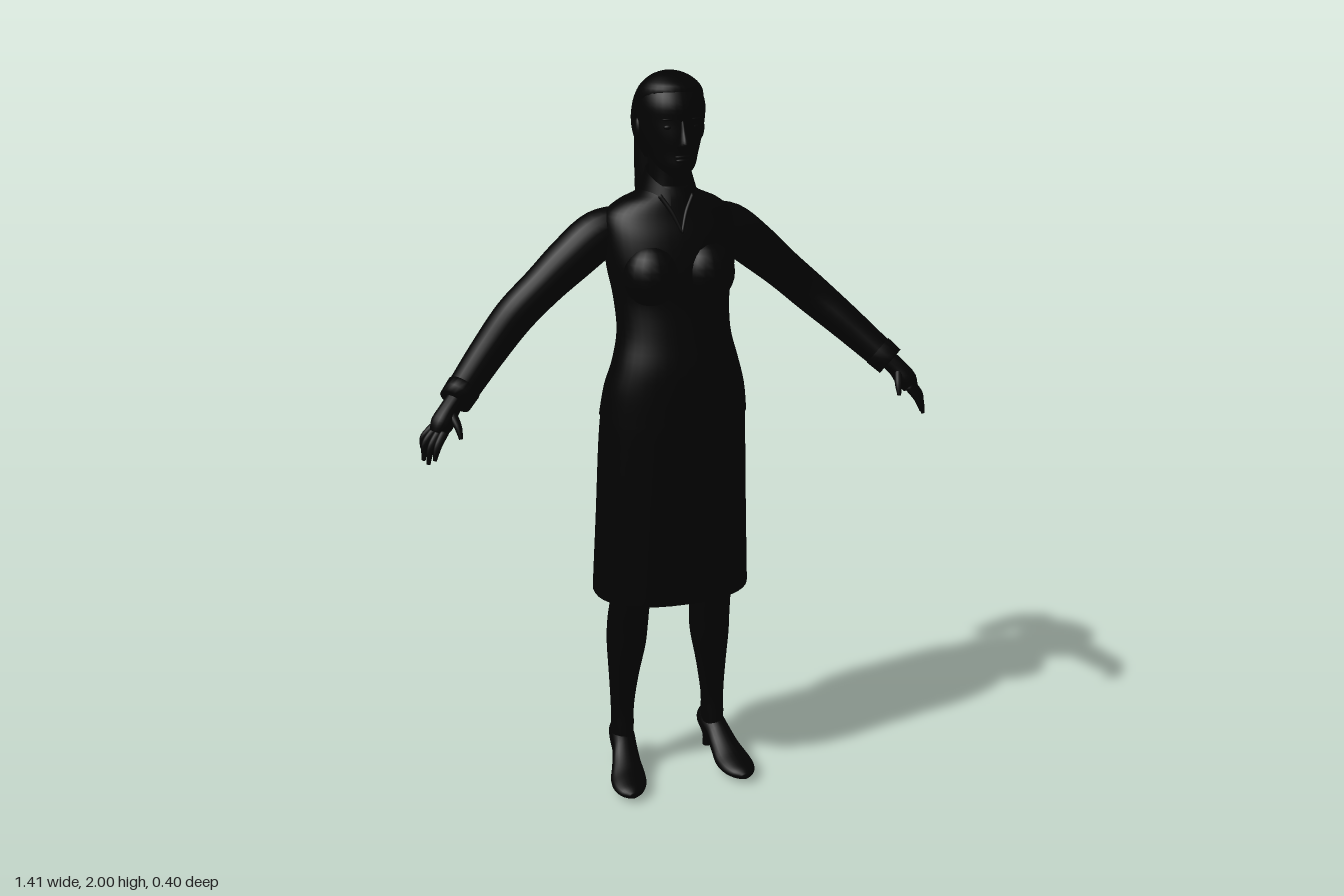
import * as THREE from 'three';
import { ParametricGeometry } from 'three/addons/geometries/ParametricGeometry.js';

const black = new THREE.MeshStandardMaterial({ color: 0x020202, side: THREE.DoubleSide });
black.name = 'black';

function mesh(name, geometry, parent) {
  const m = new THREE.Mesh(geometry, black);
  m.name = name;
  parent.add(m);
  return m;
}

// Catmull-Rom smoothing of rows of numbers
function smooth(rows, steps) {
  const out = [];
  const at = i => rows[Math.min(Math.max(i, 0), rows.length - 1)];
  for (let i = 0; i < rows.length - 1; i++) {
    for (let k = 0; k < steps; k++) {
      const t = k / steps;
      out.push(rows[i].map((b, j) => {
        const a = at(i - 1)[j], c = at(i + 1)[j], d = at(i + 2)[j];
        return b + 0.5 * t * (c - a + t * (2 * a - 5 * b + 4 * c - d + t * (3 * (b - c) + d - a)));
      }));
    }
  }
  out.push(rows[rows.length - 1]);
  return out;
}

// Skin over equal-sized closed rings, with optional end caps
function skin(rings, caps) {
  const n = rings[0].length, pos = [], idx = [];
  rings.forEach(r => r.forEach(p => pos.push(p.x, p.y, p.z)));
  for (let i = 0; i < rings.length - 1; i++) {
    for (let j = 0; j < n; j++) {
      const a = i * n + j, b = i * n + (j + 1) % n;
      idx.push(a, b, a + n, b, b + n, a + n);
    }
  }
  if (caps) [0, rings.length - 1].forEach((ri, end) => {
    const c = new THREE.Vector3();
    rings[ri].forEach(p => c.addScaledVector(p, 1 / n));
    const ci = pos.length / 3;
    pos.push(c.x, c.y, c.z);
    for (let j = 0; j < n; j++) {
      const a = ri * n + j, b = ri * n + (j + 1) % n;
      idx.push(...(end ? [ci, a, b] : [ci, b, a]));
    }
  });
  const g = new THREE.BufferGeometry();
  g.setAttribute('position', new THREE.Float32BufferAttribute(pos, 3));
  g.setIndex(idx);
  g.computeVertexNormals();
  return g;
}

// Rows: [position on axis, x centre, half width, high side, low side]
function loft(axis, rows, { sides = 32, steps = 4, power = 1, caps = true } = {}) {
  const bend = v => Math.sign(v) * Math.abs(v) ** power;
  return skin(smooth(rows, steps).map(([t, c, w, hi, lo]) =>
    Array.from({ length: sides }, (_, j) => {
      const a = (j / sides) * Math.PI * 2;
      const x = c + w * bend(Math.cos(a)), s = bend(Math.sin(a));
      const mid = (hi + lo) / 2, half = (hi - lo) / 2;
      return axis === 'y' ? new THREE.Vector3(x, t, mid - half * s) : new THREE.Vector3(x, mid + half * s, t);
    })), caps);
}

// Rows: [x, y, z, radius]
function limb(rows, sides = 20, steps = 5) {
  const pts = smooth(rows, steps), v = p => new THREE.Vector3(p[0], p[1], p[2]);
  return skin(pts.map((p, i) => {
    const dir = v(pts[Math.min(i + 1, pts.length - 1)]).sub(v(pts[Math.max(i - 1, 0)])).normalize();
    const nrm = new THREE.Vector3(0, 0, 1).cross(dir).normalize();
    const bin = dir.clone().cross(nrm);
    return Array.from({ length: sides }, (_, j) => {
      const a = (j / sides) * Math.PI * 2;
      return v(p).addScaledVector(nrm, p[3] * Math.cos(a)).addScaledVector(bin, p[3] * Math.sin(a));
    });
  }), true);
}

function blob(name, parent, [x, y, z], [rx, ry, rz]) {
  const m = mesh(name, new THREE.SphereGeometry(1, 20, 14), parent);
  m.position.set(x, y, z);
  m.scale.set(rx, ry, rz);
  return m;
}

function makeHead() {
  const g = new THREE.Group();
  g.name = 'head';
  mesh('skull', loft('y', [
    [1.742, 0, 0.022, 0.105, 0.04], [1.765, 0, 0.048, 0.118, -0.01], [1.8, 0, 0.065, 0.118, -0.07],
    [1.84, 0, 0.077, 0.12, -0.088], [1.88, 0, 0.086, 0.117, -0.095], [1.92, 0, 0.087, 0.117, -0.095],
    [1.96, 0, 0.074, 0.095, -0.075], [1.985, 0, 0.048, 0.06, -0.045], [1.997, 0, 0.015, 0.02, -0.015]]), g);
  mesh('hair', loft('y', [
    [1.775, 0, 0.05, -0.02, -0.085], [1.82, 0, 0.077, 0.0, -0.095], [1.87, 0, 0.089, 0.02, -0.1],
    [1.92, 0, 0.091, 0.08, -0.1], [1.96, 0, 0.079, 0.1, -0.08], [1.985, 0, 0.053, 0.066, -0.05],
    [1.997, 0, 0.025, 0.03, -0.02], [2, 0, 0.003, 0.004, -0.002]]), g);
  mesh('neck', loft('y', [
    [1.6, 0, 0.07, 0.06, -0.08], [1.68, 0, 0.056, 0.05, -0.07], [1.74, 0, 0.05, 0.048, -0.064],
    [1.8, 0, 0.052, 0.05, -0.07]]), g);
  mesh('nose', loft('y', [
    [1.812, 0, 0.008, 0.13, 0.1], [1.82, 0, 0.017, 0.141, 0.1], [1.832, 0, 0.014, 0.146, 0.1],
    [1.86, 0, 0.008, 0.129, 0.1], [1.885, 0, 0.006, 0.118, 0.1]], { sides: 16 }), g);
  blob('upperLip', g, [0, 1.795, 0.117], [0.022, 0.005, 0.008]);
  blob('lowerLip', g, [0, 1.785, 0.116], [0.019, 0.006, 0.008]);
  for (const s of [-1, 1]) {
    blob('ear', g, [s * 0.085, 1.853, 0.0], [0.01, 0.03, 0.018]);
    blob('eye', g, [s * 0.033, 1.868, 0.102], [0.014, 0.007, 0.009]);
    blob('brow', g, [s * 0.033, 1.888, 0.105], [0.019, 0.004, 0.008]);
  }
  // Ponytail hanging from a band
  mesh('ponytail', loft('y', [
    [1.595, 0, 0.012, -0.13, -0.165], [1.625, 0, 0.033, -0.125, -0.185], [1.7, 0, 0.045, -0.112, -0.197],
    [1.8, 0, 0.047, -0.105, -0.199], [1.88, 0, 0.042, -0.1, -0.185], [1.93, 0, 0.03, -0.09, -0.155],
    [1.948, 0, 0.01, -0.105, -0.13]]), g);
  for (const x of [-0.025, 0, 0.025]) {
    mesh('strand', limb([[x, 1.7, -0.165, 0.02], [x, 1.63, -0.168, 0.015], [x * 1.1, 1.59 + Math.abs(x) * 0.6, -0.17, 0.003]], 10), g);
  }
  const band = mesh('hairBand', new THREE.TorusGeometry(0.024, 0.009, 10, 24), g);
  band.position.set(0, 1.925, -0.102);
  band.rotation.x = -0.3;
  return g;
}

function makeClothes() {
  const g = new THREE.Group();
  g.name = 'clothes';
  mesh('blouse', loft('y', [
    [1.1, 0, 0.203, 0.182, -0.112], [1.18, 0, 0.192, 0.18, -0.09], [1.25, 0, 0.172, 0.174, -0.068],
    [1.33, 0, 0.154, 0.155, -0.075], [1.42, 0, 0.157, 0.137, -0.097], [1.5, 0, 0.172, 0.138, -0.111],
    [1.58, 0, 0.178, 0.118, -0.117], [1.635, 0, 0.172, 0.09, -0.113], [1.668, 0, 0.135, 0.076, -0.1],
    [1.69, 0, 0.085, 0.066, -0.085], [1.71, 0, 0.058, 0.052, -0.07]], { sides: 40, power: 0.92, caps: false }), g);
  mesh('skirt', loft('y', [
    [0.578, 0, 0.221, 0.164, -0.143], [0.6, 0, 0.221, 0.166, -0.144], [0.8, 0, 0.212, 0.17, -0.133],
    [1.0, 0, 0.204, 0.175, -0.124], [1.1, 0, 0.198, 0.177, -0.109], [1.13, 0, 0.19, 0.172, -0.098]],
  { sides: 40, power: 0.88, caps: false }), g);
  for (const s of [-1, 1]) blob('bust', g, [s * 0.073, 1.488, 0.085], [0.078, 0.085, 0.075]);
  // Folded collar, open at the front
  mesh('collar', new ParametricGeometry((u, v, p) => {
    const a = 0.3 + u * (Math.PI * 2 - 0.6);
    const front = ((1 + Math.cos(a)) / 2) ** 2, r = 0.06 + 0.024 * v;
    p.set(r * Math.sin(a), 1.758 - 0.07 * v - front * (0.055 + 0.03 * v), r * 1.1 * Math.cos(a) - 0.005 + front * 0.012);
  }, 40, 6), g);
  // Front opening
  for (const s of [-1, 1]) {
    mesh('neckline', limb([[s * 0.045, 1.69, 0.062, 0.006], [s * 0.02, 1.65, 0.085, 0.006], [0, 1.6, 0.112, 0.004]], 8), g);
  }
  return g;
}

function makeArm() {
  const g = new THREE.Group();
  g.name = 'arm';
  mesh('sleeve', limb([
    [0.1, 1.605, -0.035, 0.05], [0.18, 1.58, -0.038, 0.064], [0.26, 1.52, -0.034, 0.062], [0.34, 1.452, -0.028, 0.055],
    [0.42, 1.382, -0.016, 0.053], [0.5, 1.308, 0.033, 0.048], [0.57, 1.24, 0.083, 0.043], [0.602, 1.21, 0.108, 0.041]]), g);
  mesh('cuff', limb([[0.578, 1.233, 0.09, 0.045], [0.607, 1.205, 0.112, 0.043]], 20, 2), g);
  mesh('palm', limb([
    [0.59, 1.222, 0.1, 0.026], [0.622, 1.19, 0.122, 0.026], [0.645, 1.158, 0.135, 0.03], [0.658, 1.135, 0.142, 0.022]], 14), g);
  // Four fingers and a thumb
  const fingers = [
    [[0.658, 1.15, 0.115], [0.69, 1.12, 0.113], [0.696, 1.09, 0.114]],
    [[0.662, 1.143, 0.13], [0.69, 1.11, 0.136], [0.698, 1.066, 0.14]],
    [[0.657, 1.138, 0.147], [0.68, 1.105, 0.158], [0.69, 1.062, 0.163]],
    [[0.645, 1.14, 0.158], [0.665, 1.11, 0.172], [0.676, 1.075, 0.18]],
    [[0.622, 1.185, 0.135], [0.611, 1.155, 0.162], [0.607, 1.125, 0.178]]];
  fingers.forEach((f, i) => mesh(i < 4 ? 'finger' : 'thumb',
    limb(f.map((p, k) => [...p, [0.012, 0.01, 0.005][k]]), 10), g));
  return g;
}

function makeLeg() {
  const g = new THREE.Group();
  g.name = 'leg';
  mesh('shin', loft('y', [
    [0.08, 0.139, 0.03, 0.035, -0.055], [0.14, 0.139, 0.033, 0.026, -0.053], [0.2, 0.138, 0.034, 0.02, -0.048],
    [0.3, 0.133, 0.043, 0.036, -0.062], [0.4, 0.126, 0.055, 0.058, -0.077], [0.47, 0.123, 0.057, 0.07, -0.076],
    [0.56, 0.12, 0.056, 0.09, -0.056], [0.75, 0.11, 0.07, 0.11, -0.06], [1.0, 0.1, 0.085, 0.13, -0.08]], { sides: 24 }), g);
  mesh('shoe', loft('z', [
    [-0.08, 0.137, 0.01, 0.112, 0.085], [-0.066, 0.137, 0.028, 0.128, 0.06], [-0.02, 0.139, 0.037, 0.132, 0.052],
    [0.03, 0.145, 0.037, 0.115, 0.038], [0.07, 0.152, 0.043, 0.085, 0.015], [0.11, 0.159, 0.051, 0.062, 0.003],
    [0.15, 0.164, 0.048, 0.05, 0.003], [0.182, 0.167, 0.033, 0.041, 0.008], [0.2, 0.168, 0.01, 0.03, 0.016]], { sides: 24 }), g);
  mesh('heel', loft('y', [
    [0, 0.137, 0.013, -0.036, -0.066], [0.03, 0.137, 0.013, -0.033, -0.066], [0.06, 0.137, 0.022, -0.018, -0.074],
    [0.09, 0.137, 0.028, 0.0, -0.078]], { sides: 16 }), g);
  return g;
}

export function createModel() {
  const model = new THREE.Group();
  model.name = 'woman';
  model.add(makeHead(), makeClothes());
  for (const s of [1, -1]) {
    const side = new THREE.Group();
    side.name = s > 0 ? 'leftLimbs' : 'rightLimbs';
    side.scale.x = s;
    side.add(makeArm(), makeLeg());
    model.add(side);
  }
  return model;
}
